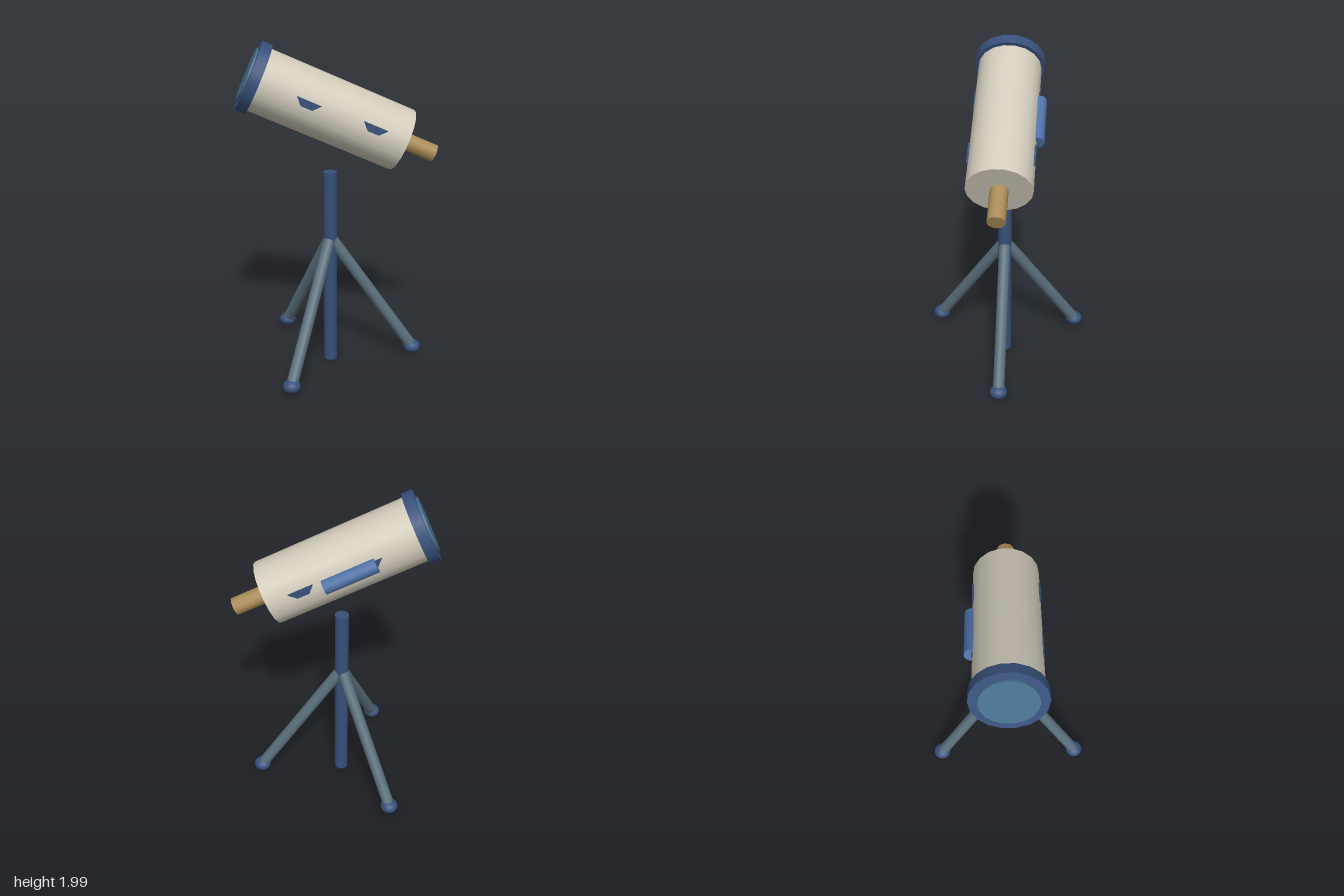
import * as THREE from 'three';

const paint = (color) => new THREE.MeshStandardMaterial({ color });
const CREAM = paint(0xd2ccbc), NAVY = paint(0x37507a), SLATE = paint(0x5a707c);
const BRASS = paint(0xab8c58), GLASS = paint(0x47708c), BLUE = paint(0x4f72a8);

function add(parent, name, geometry, material, x = 0, y = 0, z = 0) {
  const mesh = new THREE.Mesh(geometry, material);
  mesh.name = name;
  mesh.position.set(x, y, z);
  parent.add(mesh);
  return mesh;
}

// Cylinder lying along local x, from a to b
function barrel(parent, name, radius, a, b, sides, material, y = 0, z = 0) {
  const geometry = new THREE.CylinderGeometry(radius, radius, b - a, sides).rotateZ(-Math.PI / 2);
  return add(parent, name, geometry, material, (a + b) / 2, y, z);
}

// Cylinder between two points
function rod(parent, name, radius, from, to, material) {
  const span = to.clone().sub(from);
  const mesh = add(parent, name, new THREE.CylinderGeometry(radius, radius, span.length(), 12), material);
  mesh.position.copy(from).addScaledVector(span, 0.5);
  mesh.quaternion.setFromUnitVectors(new THREE.Vector3(0, 1, 0), span.normalize());
  return mesh;
}

// Trapezoid saddle plate crossing the tube, showing slightly on both sides
function saddle(parent, x, top, bottom) {
  const shape = new THREE.Shape([
    new THREE.Vector2(-0.035, bottom), new THREE.Vector2(0.035, bottom),
    new THREE.Vector2(0.075, top), new THREE.Vector2(-0.075, top),
  ]);
  const geometry = new THREE.ExtrudeGeometry(shape, { depth: 0.38, bevelEnabled: false });
  add(parent, 'saddlePlate', geometry, NAVY, x, 0, -0.19);
}

export function createModel() {
  const model = new THREE.Group();
  model.name = 'telescope';

  // Tilted optical tube: local x runs from the front lens to the eyepiece
  const tube = new THREE.Group();
  tube.name = 'opticalTube';
  tube.position.set(-0.51, 1.805, 0);
  tube.rotation.z = -0.42;
  model.add(tube);
  barrel(tube, 'mainTube', 0.188, 0.03, 0.968, 18, CREAM);
  barrel(tube, 'frontRim', 0.21, 0, 0.063, 18, NAVY);
  barrel(tube, 'frontLens', 0.16, -0.012, 0.03, 18, GLASS);
  barrel(tube, 'eyepiece', 0.052, 0.94, 1.18, 12, BRASS);
  barrel(tube, 'finderScope', 0.043, 0.32, 0.634, 12, BLUE, 0.007, -0.188);
  saddle(tube, 0.355, 0.033, -0.01);
  saddle(tube, 0.757, 0.049, 0.006);

  // Centre post
  const postX = -0.047;
  add(model, 'centrePost', new THREE.CylinderGeometry(0.042, 0.042, 1.224, 12), NAVY, postX, 0.612, 0);

  // Three splayed legs with flattened ball feet
  for (let i = 0; i < 3; i++) {
    const angle = (i * Math.PI * 2) / 3;
    const foot = new THREE.Vector3(postX + 0.515 * Math.cos(angle), 0.06, 0.515 * Math.sin(angle));
    rod(model, 'leg', 0.035, new THREE.Vector3(postX, 0.815, 0), foot, SLATE);
    const ball = add(model, 'foot', new THREE.SphereGeometry(0.054, 14, 10), NAVY);
    ball.position.copy(foot);
    ball.scale.y = 0.75;
  }
  return model;
}
